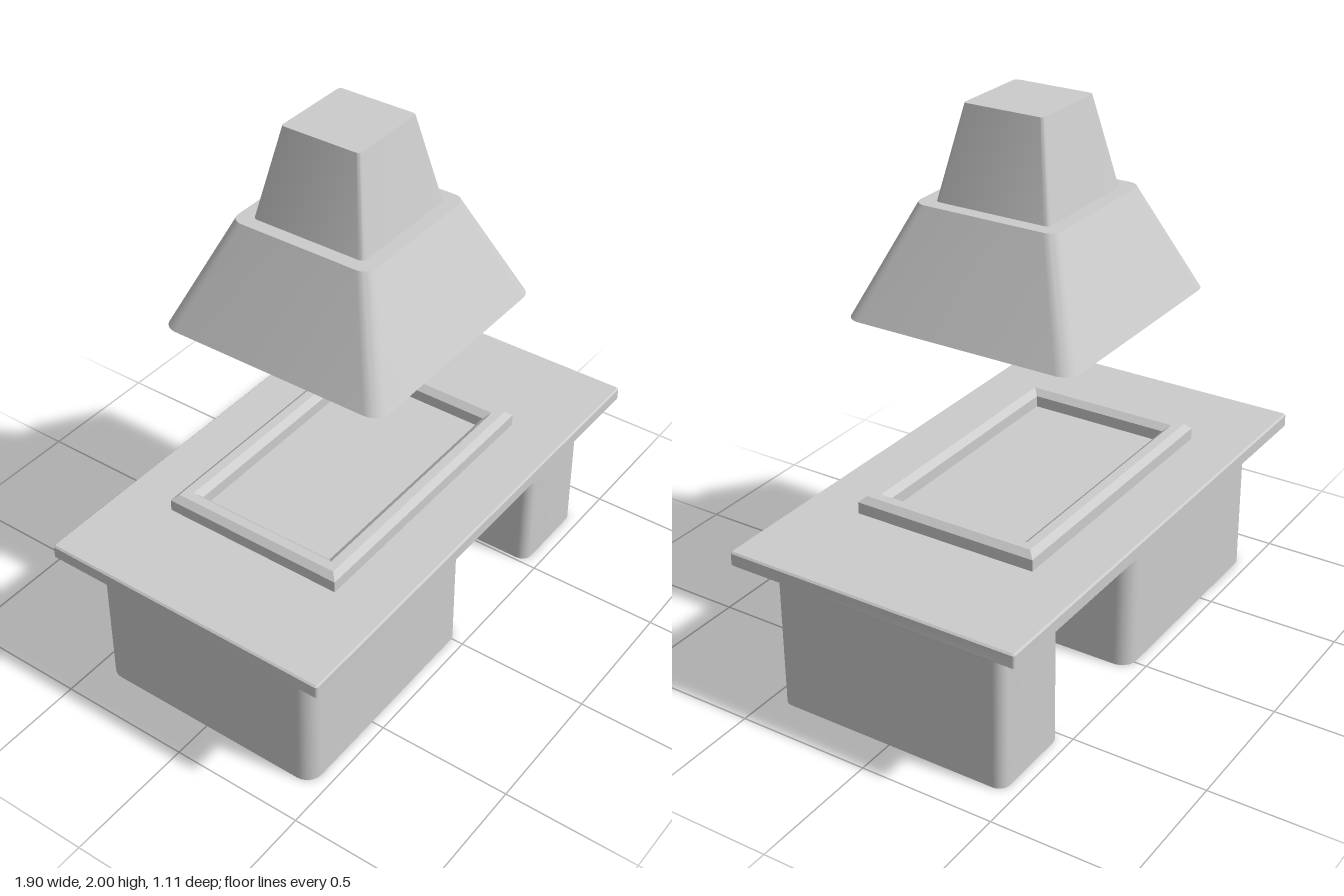
import * as THREE from 'three';
import { toCreasedNormals } from 'three/addons/utils/BufferGeometryUtils.js';

const material = new THREE.MeshStandardMaterial({ color: 0xcccccc });

// Points of a rounded rectangle, counter-clockwise seen from above
function ring([y, halfX, halfZ, radius = 0], steps) {
  const points = [];
  for (let corner = 0; corner < 4; corner++) {
    const sx = corner === 0 || corner === 3 ? 1 : -1;
    const sz = corner < 2 ? -1 : 1;
    for (let i = 0; i <= steps; i++) {
      const a = (corner + (steps ? i / steps : 0.5)) * Math.PI / 2;
      points.push([
        sx * (halfX - radius) + radius * Math.cos(a),
        y,
        sz * (halfZ - radius) - radius * Math.sin(a),
      ]);
    }
  }
  return points;
}

// Skin over sections [y, halfX, halfZ, radius], listed upwards on the outside
function loft(name, sections, { x = 0, z = 0, steps = 8, capped = true } = {}) {
  const rings = sections.map((s) => ring(s, steps));
  const n = rings[0].length;
  const positions = rings.flat(2);
  const index = [];
  for (let j = 0; j < rings.length - 1; j++) {
    for (let i = 0; i < n; i++) {
      const k = (i + 1) % n;
      const a = j * n + i, b = j * n + k;
      index.push(a, b, b + n, a, b + n, a + n);
    }
  }
  if (capped) {
    const top = (rings.length - 1) * n;
    for (let i = 1; i < n - 1; i++) {
      index.push(0, i + 1, i, top, top + i, top + i + 1);
    }
  }
  const geometry = new THREE.BufferGeometry();
  geometry.setAttribute('position', new THREE.Float32BufferAttribute(positions, 3));
  geometry.setIndex(index);
  const mesh = new THREE.Mesh(toCreasedNormals(geometry, 0.5), material);
  mesh.name = name;
  mesh.position.set(x, 0, z);
  return mesh;
}

export function createModel() {
  const model = new THREE.Group();
  model.name = 'kitchenIsland';

  // Two cabinets under the worktop
  model.add(loft('wideCabinet', [[0, 0.45, 0.453, 0.06], [0.56, 0.45, 0.453, 0.06]], { x: -0.402 }));
  model.add(loft('narrowCabinet', [[0, 0.172, 0.453, 0.04], [0.56, 0.172, 0.453, 0.04]], { x: 0.684 }));

  // Worktop with lightly eased edges
  model.add(loft('worktop', [
    [0.56, 0.943, 0.551, 0.006],
    [0.566, 0.949, 0.557, 0.01],
    [0.609, 0.949, 0.557, 0.01],
    [0.615, 0.943, 0.551, 0.006],
  ], { steps: 3 }));

  // Bevelled rim round the hob: up the outside, over the top, down the inside
  const rim = [[0.612, 0], [0.658, 0], [0.679, 0.022], [0.679, 0.056], [0.658, 0.08], [0.612, 0.08]];
  model.add(loft('hobRim', rim.map(([y, inset]) => [y, 0.547 - inset, 0.35 - inset]),
    { x: -0.027, steps: 0, capped: false }));

  // Extractor hood and its tapering flue
  model.add(loft('hood', [[1.29, 0.45, 0.44, 0.06], [1.675, 0.276, 0.27, 0.045]], { x: -0.01 }));
  model.add(loft('flue', [[1.675, 0.226, 0.218, 0.018], [2, 0.154, 0.15, 0.012]], { x: -0.01, steps: 4 }));

  return model;
}
